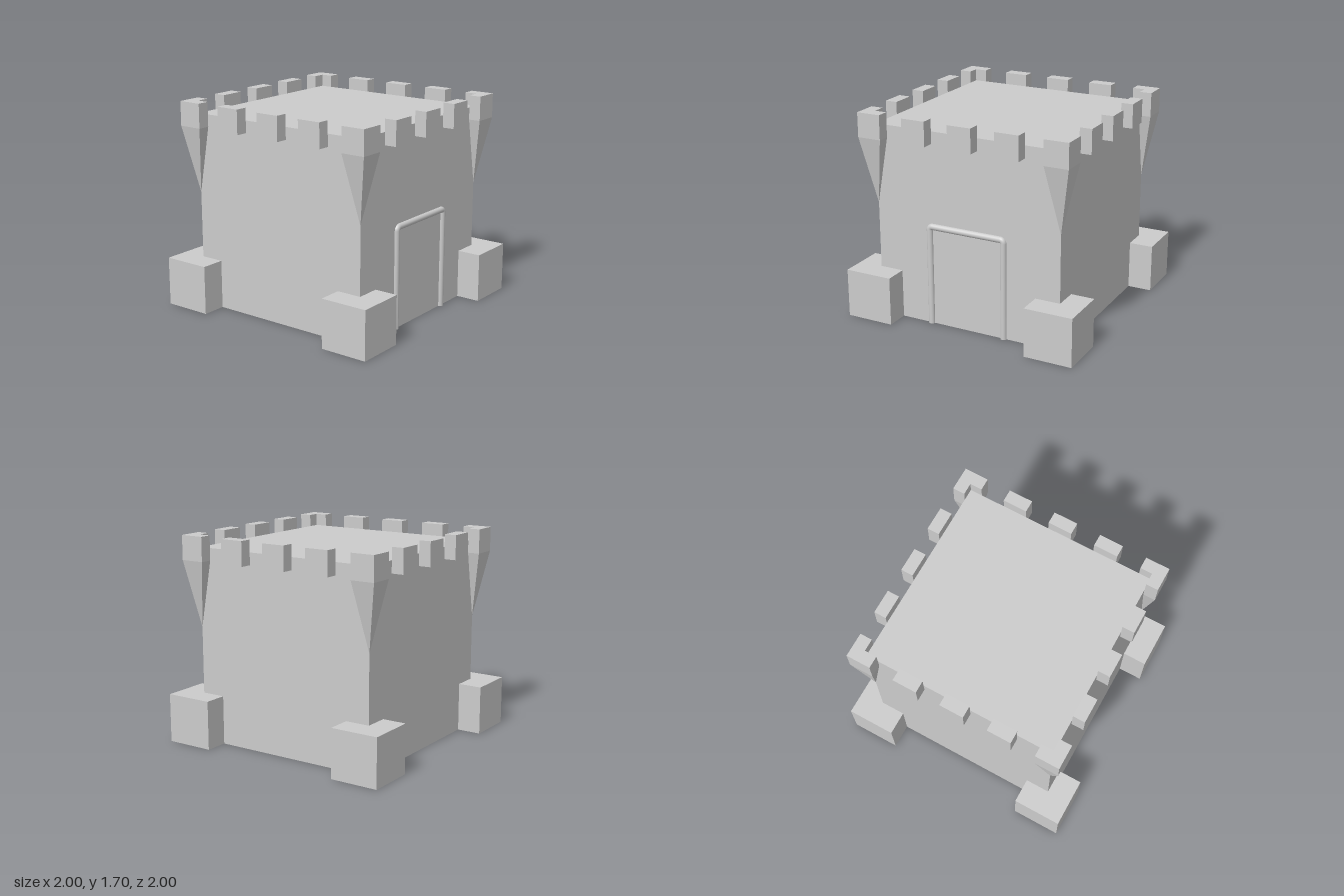
import * as THREE from 'three';

export function createModel() {
  const castle = new THREE.Group();
  castle.name = 'castleTower';
  const flat = new THREE.MeshStandardMaterial({ color: 0xcccccc, flatShading: true });
  const smooth = new THREE.MeshStandardMaterial({ color: 0xcccccc });

  const add = (parent, name, geometry, x, y, z, material = flat) => {
    const mesh = new THREE.Mesh(geometry, material);
    mesh.name = name;
    mesh.position.set(x, y, z);
    parent.add(mesh);
    return mesh;
  };

  // Main block
  add(castle, 'keep', new THREE.BoxGeometry(1.6, 1.6, 1.6), 0, 0.8, 0);

  // Corner footings
  const footing = new THREE.BoxGeometry(0.4, 0.4, 0.4);
  for (const [x, z] of [[0.793, 0.8], [-0.8, 0.793], [0.8, -0.797], [-0.8, -0.8]]) {
    add(castle, 'cornerFooting', footing, x, 0.2, z);
  }

  // L-shaped corner battlement, wrapping the outside of the keep's corner
  const corner = new THREE.Shape(
    [[0.7, 0.8], [0.8, 0.8], [0.8, 0.7], [0.9, 0.7], [0.9, 0.9], [0.7, 0.9]]
      .map(([x, z]) => new THREE.Vector2(x, -z)));
  const cornerGeometry = new THREE.ExtrudeGeometry(corner, { depth: 0.2, bevelEnabled: false });
  cornerGeometry.rotateX(-Math.PI / 2);

  // Tapered support: four-sided spike pointing down
  const spike = new THREE.ConeGeometry(0.1 * Math.SQRT2, 0.55, 4, 1, true);
  spike.rotateY(Math.PI / 4).rotateX(Math.PI);

  // One battlement run per side, turned around the keep
  const merlon = new THREE.BoxGeometry(0.2, 0.2, 0.1);
  for (let i = 0; i < 4; i++) {
    const side = new THREE.Group();
    side.name = 'battlementSide';
    side.rotation.y = i * Math.PI / 2;
    for (const x of [-0.4, 0, 0.4]) add(side, 'merlon', merlon, x, 1.6, 0.85);
    add(side, 'cornerMerlon', cornerGeometry, 0, 1.5, 0);
    add(side, 'cornerSpike', spike, 0.8, 1.225, 0.8);
    castle.add(side);
  }

  // Door frame: round bar half sunk into the front wall
  const frame = new THREE.Group();
  frame.name = 'doorFrame';
  frame.position.set(-0.005, 0, 0.8);
  const r = 0.026;
  const post = new THREE.CylinderGeometry(r, r, 0.8, 20);
  const bend = new THREE.TorusGeometry(0.026, r, 20, 10, Math.PI / 2);
  for (const s of [-1, 1]) {
    add(frame, 'doorPost', post, s * 0.325, 0.4, 0, smooth);
    const elbow = add(frame, 'doorFrameBend', bend, s * 0.299, 0.8, 0, smooth);
    if (s < 0) elbow.rotation.z = Math.PI / 2;
  }
  const lintel = new THREE.CylinderGeometry(r, r, 0.598, 20);
  add(frame, 'doorLintel', lintel, 0, 0.826, 0, smooth).rotation.z = Math.PI / 2;
  castle.add(frame);

  return castle;
}
